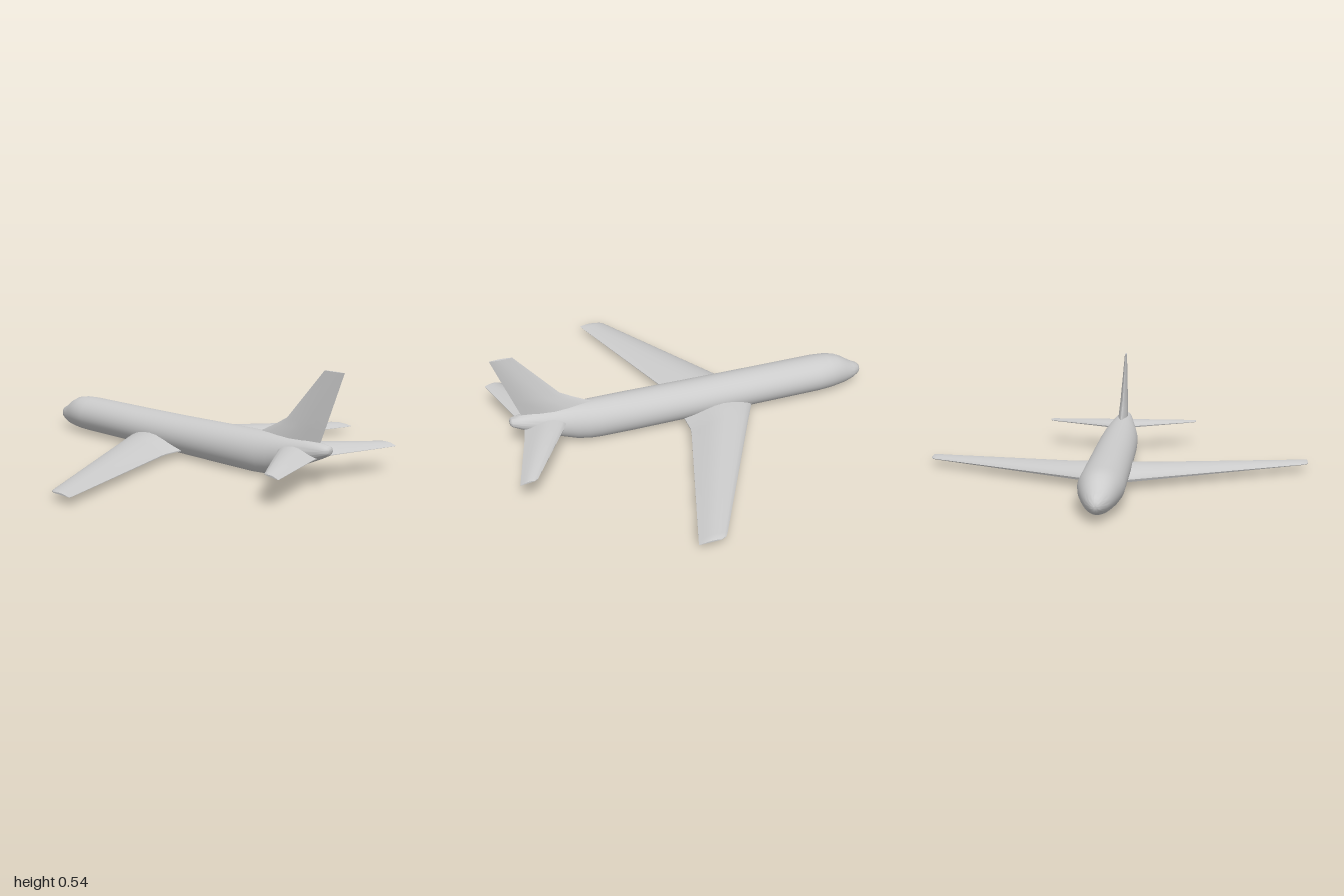
import * as THREE from 'three';
import { toCreasedNormals } from 'three/addons/utils/BufferGeometryUtils.js';

const material = new THREE.MeshStandardMaterial({ color: 0xcccccc });

// Skin a list of closed rings (each a list of [x, y, z]) and cap both ends
function loft(name, rings, crease) {
  const n = rings[0].length;
  const pts = rings.flat();
  const idx = [];
  for (let r = 0; r < rings.length - 1; r++) {
    for (let i = 0; i < n; i++) {
      const a = r * n + i, b = r * n + (i + 1) % n;
      idx.push(a, b, a + n, b, b + n, a + n);
    }
  }
  const last = (rings.length - 1) * n;
  for (let i = 1; i < n - 1; i++) {
    idx.push(0, i + 1, i, last, last + i, last + i + 1);
  }
  // Turn the faces outward if the enclosed volume comes out negative
  const v = pts.map((p) => new THREE.Vector3(...p));
  const cross = new THREE.Vector3();
  let volume = 0;
  for (let i = 0; i < idx.length; i += 3) {
    volume += v[idx[i]].dot(cross.crossVectors(v[idx[i + 1]], v[idx[i + 2]]));
  }
  if (volume < 0) idx.reverse();
  const geometry = new THREE.BufferGeometry().setFromPoints(v);
  geometry.setIndex(idx);
  const mesh = new THREE.Mesh(toCreasedNormals(geometry, crease), material);
  mesh.name = name;
  return mesh;
}

// Fuselage stations: x, bottom, top, half width
const BODY = [
  [-0.99, 0.074, 0.086, 0.006], [-0.985, 0.06, 0.1, 0.018], [-0.97, 0.048, 0.115, 0.032],
  [-0.94, 0.035, 0.129, 0.048], [-0.91, 0.026, 0.147, 0.06], [-0.88, 0.02, 0.168, 0.072],
  [-0.84, 0.016, 0.187, 0.085], [-0.79, 0.013, 0.196, 0.097], [-0.72, 0.012, 0.199, 0.106],
  [-0.3, 0.01, 0.199, 0.106], [0, 0.008, 0.201, 0.105], [0.3, 0.005, 0.206, 0.102],
  [0.48, 0.004, 0.209, 0.096], [0.54, 0.007, 0.21, 0.091], [0.6, 0.019, 0.211, 0.083],
  [0.7, 0.057, 0.211, 0.069], [0.8, 0.1, 0.21, 0.052], [0.87, 0.132, 0.205, 0.04],
  [0.91, 0.153, 0.198, 0.029], [0.92, 0.163, 0.19, 0.016],
];

function fuselage() {
  const rings = BODY.map(([x, lo, hi, w]) => Array.from({ length: 40 }, (_, i) => {
    const a = (i / 40) * Math.PI * 2;
    return [x, (lo + hi) / 2 + Math.sin(a) * (hi - lo) / 2, Math.cos(a) * w - 0.004];
  }));
  return loft('fuselage', rings, 0.9);
}

// Flat-bottomed section, as fractions of chord and height
const AIRFOIL = [
  [0.015, 0.02], [0, 0.2], [0.02, 0.38], [0.08, 0.58], [0.18, 0.8], [0.3, 0.94],
  [0.43, 1], [0.56, 0.93], [0.7, 0.72], [0.85, 0.4], [1, 0.08], [1, 0],
];
// Symmetric section for the fin, as fractions of chord and half thickness
const FIN_SIDE = [[0.03, 0.15], [0.15, 0.45], [0.35, 0.85], [0.55, 1], [0.75, 0.75], [0.9, 0.35]];

// Wing-like surface; stations: span, leading x, trailing x, underside y, height
function wing(name, stations, side, centre = 0, droop = 0) {
  const rings = stations.map(([z, le, te, y, h]) => AIRFOIL.map(([c, t]) =>
    [le + c * (te - le), y + t * h - droop * c, centre + side * z]));
  return loft(name, rings, 0.7);
}

const WING = [
  [0, -0.37, 0.045, 0.038, 0.071], [0.11, -0.312, 0.046, 0.039, 0.067],
  [0.18, -0.273, 0.047, 0.039, 0.063], [0.22, -0.25, 0.056, 0.039, 0.06],
  [0.97, 0.162, 0.298, 0.04, 0.016], [0.99, 0.176, 0.304, 0.041, 0.013],
  [1, 0.2, 0.306, 0.042, 0.008],
];
const TAILPLANE = [
  [0, 0.625, 0.855, 0.143, 0.042], [0.08, 0.67, 0.87, 0.143, 0.038],
  [0.42, 0.882, 0.965, 0.142, 0.013], [0.432, 0.9, 0.968, 0.143, 0.008],
];
// Fin stations: y, leading x, trailing x, half thickness
const FIN = [
  [0.18, 0.45, 0.852, 0.028], [0.21, 0.51, 0.863, 0.026], [0.26, 0.606, 0.882, 0.023],
  [0.295, 0.665, 0.895, 0.021], [0.54, 0.875, 0.985, 0.006],
];

function fin() {
  const rings = FIN.map(([y, le, te, w]) => {
    const at = (c, t) => [le + c * (te - le), y, t * w - 0.004];
    return [
      at(0, 0), ...FIN_SIDE.map(([c, t]) => at(c, t)),
      at(1, 0), ...FIN_SIDE.map(([c, t]) => at(c, -t)).reverse(),
    ];
  });
  return loft('tailFin', rings, 0.6);
}

export function createModel() {
  const group = new THREE.Group();
  group.name = 'airliner';
  group.add(fuselage(), fin());
  // Nose points to -x, so the wings spread along z
  for (const [label, side] of [['front', 1], ['rear', -1]]) {
    group.add(wing(label + 'Wing', WING, side));
    group.add(wing(label + 'Tailplane', TAILPLANE, side, -0.017, 0.008));
  }
  return group;
}
